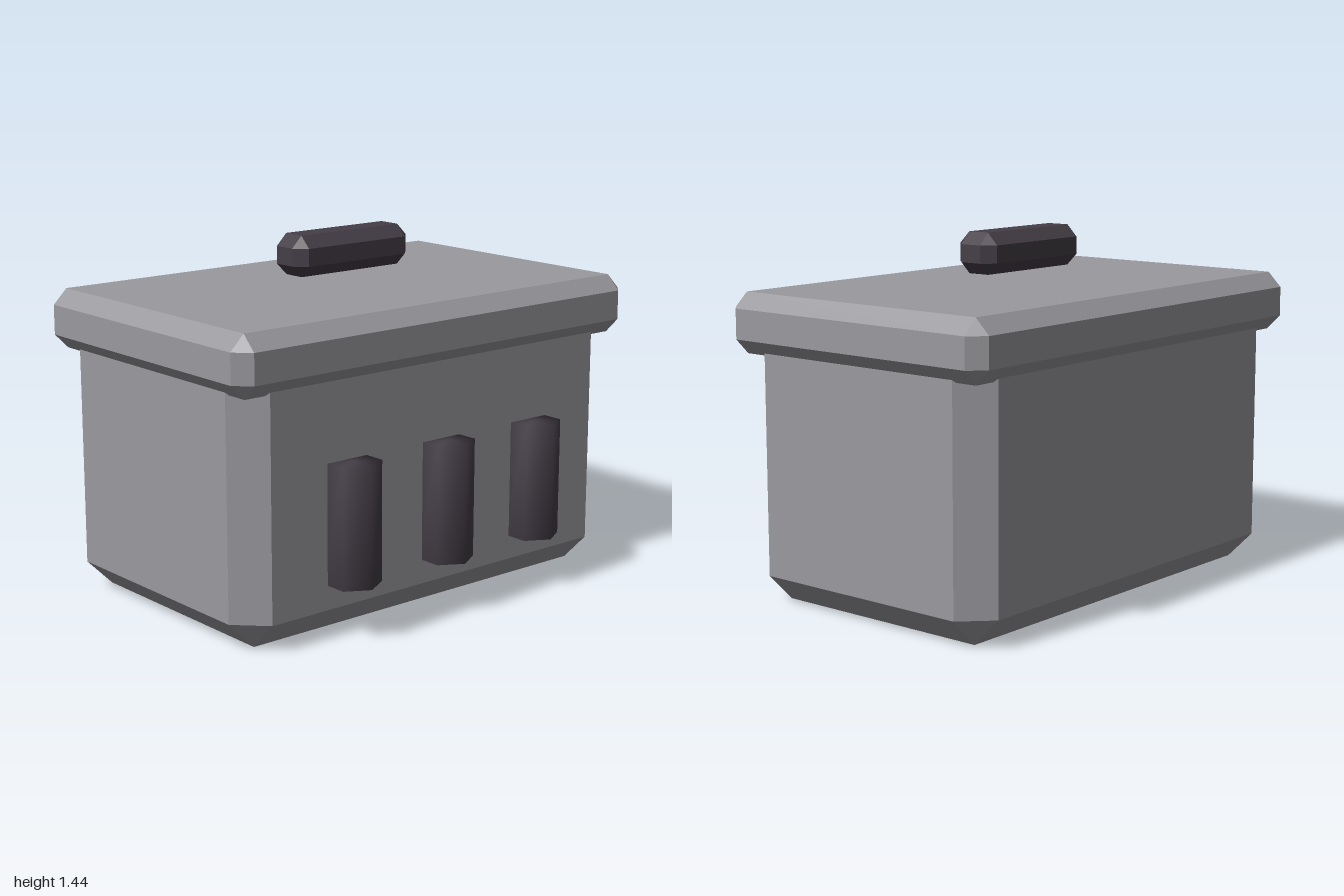
import * as THREE from 'three';
import { ConvexGeometry } from 'three/addons/geometries/ConvexGeometry.js';
import { mergeVertices } from 'three/addons/utils/BufferGeometryUtils.js';

// Box with every edge cut at 45 degrees: three points per corner
function chamferBox(w, h, d, c) {
  const half = [w / 2, h / 2, d / 2];
  const points = [];
  for (const sx of [-1, 1]) for (const sy of [-1, 1]) for (const sz of [-1, 1]) {
    for (let axis = 0; axis < 3; axis++) {
      const p = [sx, sy, sz].map((s, i) => s * (i === axis ? half[i] : half[i] - c));
      points.push(new THREE.Vector3(...p));
    }
  }
  return new ConvexGeometry(points);
}

export function createModel() {
  const group = new THREE.Group();
  const grey = new THREE.MeshStandardMaterial({ color: 0x9a999e });
  grey.name = 'grey shell';
  const dark = new THREE.MeshStandardMaterial({ color: 0x453e47 });
  dark.name = 'dark trim';

  const add = (name, geometry, material, x, y, z) => {
    const mesh = new THREE.Mesh(geometry, material);
    mesh.name = name;
    mesh.position.set(x, y, z);
    group.add(mesh);
  };

  // Body, its top tucked inside the lid
  add('body', chamferBox(1.9, 1.12, 1.19, 0.115), grey, 0, 0.56, -0.0475);

  // Overhanging lid and the grip floating above it
  add('lid', chamferBox(2, 0.24, 1.285, 0.06), grey, 0, 1.105, -0.0475);
  add('handle', chamferBox(0.594, 0.165, 0.19, 0.047), dark, 0, 1.3575, -0.0475);

  // Three softly shaded hexagonal bars across the front
  let bar = new THREE.CylinderGeometry(0.11, 0.11, 0.475, 6);
  bar.deleteAttribute('uv');
  bar.deleteAttribute('normal');
  bar = mergeVertices(bar);
  bar.computeVertexNormals();
  ['rightBar', 'middleBar', 'leftBar'].forEach((name, i) => {
    add(name, bar, dark, (i - 1) * 0.476, 0.45, 0.582);
  });

  return group;
}
